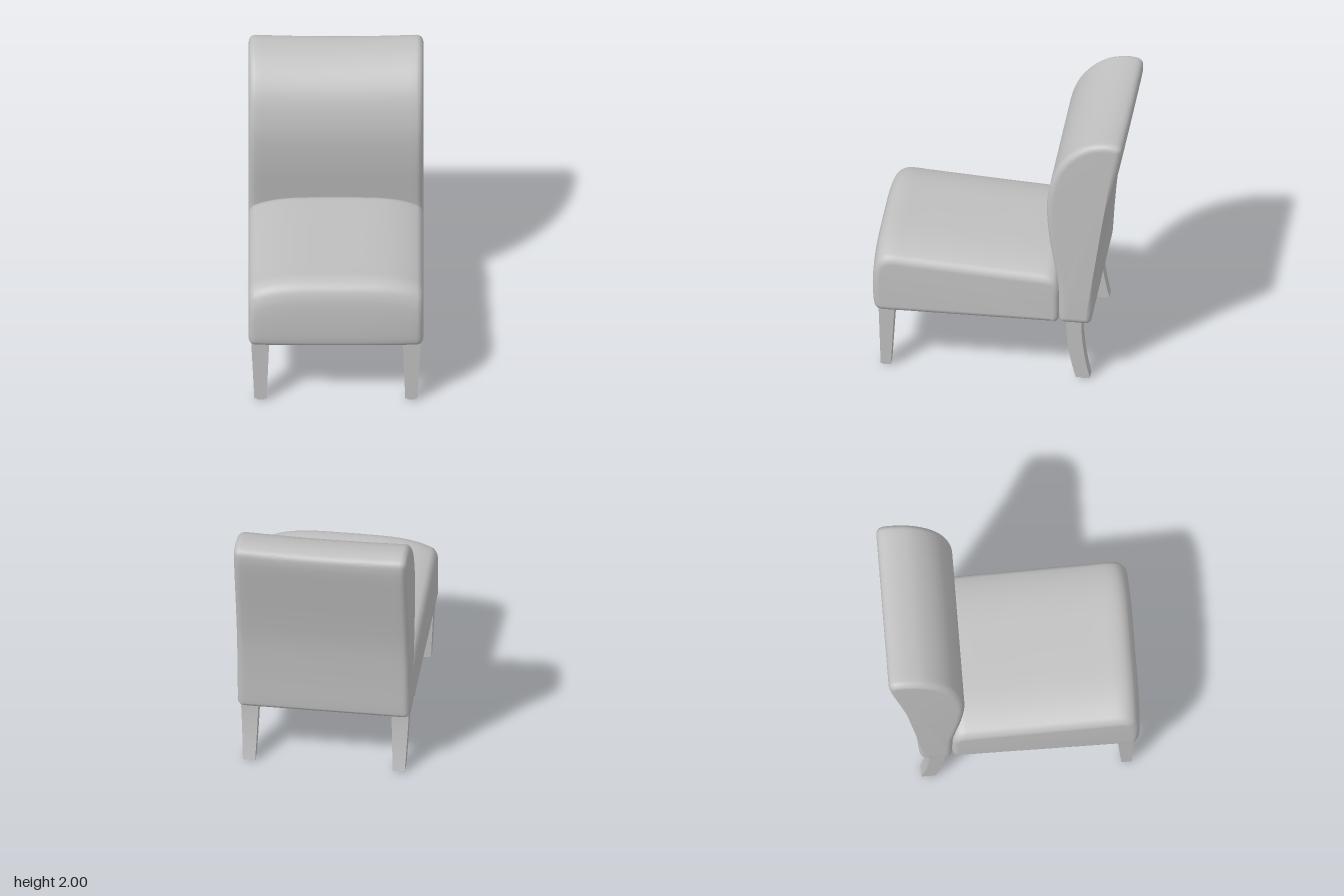
import * as THREE from 'three';
import { toCreasedNormals } from 'three/addons/utils/BufferGeometryUtils.js';

const HALF_WIDTH = 0.62;

// Closed smooth outline from [z, y] points, extruded across the chair with soft edges.
function cushion(points, bevel, move) {
  const curve = new THREE.SplineCurve(points.map(([z, y]) => new THREE.Vector2(z, y)));
  const shape = new THREE.Shape(curve.getPoints(110));
  const geo = new THREE.ExtrudeGeometry(shape, {
    depth: 2 * (HALF_WIDTH - bevel), steps: 24,
    bevelEnabled: true, bevelSize: bevel, bevelThickness: bevel,
    bevelOffset: -bevel, bevelSegments: 7,
  });
  geo.translate(0, 0, -(HALF_WIDTH - bevel));
  geo.rotateY(-Math.PI / 2);
  reshape(geo, move);
  geo.deleteAttribute('uv');
  return toCreasedNormals(geo, 0.65);
}

// Apply a rule to every vertex.
function reshape(geo, move) {
  const pos = geo.attributes.position;
  const p = new THREE.Vector3();
  for (let i = 0; i < pos.count; i++) {
    move(p.fromBufferAttribute(pos, i));
    pos.setXYZ(i, p.x, p.y, p.z);
  }
}

// Square tapered leg; front(t) and back(t) give its z limits, t = 0 at the floor.
function legGeometry(side, front, back) {
  const geo = new THREE.BoxGeometry(1, 1, 1, 1, 10, 1);
  reshape(geo, (p) => {
    const t = p.y + 0.5;
    const inner = THREE.MathUtils.lerp(0.492, 0.475, t);
    const outer = THREE.MathUtils.lerp(0.58, 0.602, t);
    p.x = THREE.MathUtils.lerp(inner, outer, p.x * side + 0.5) * side;
    p.z = THREE.MathUtils.lerp(back(t), front(t), p.z + 0.5);
    p.y = 0.015 + t * 0.475;
  });
  geo.deleteAttribute('uv');
  return toCreasedNormals(geo, 0.6);
}

export function createModel() {
  const chair = new THREE.Group();
  chair.name = 'slipperChair';
  const grey = new THREE.MeshStandardMaterial({ color: 0xc0c0c0 });
  grey.name = 'plain grey';

  const add = (name, geo) => {
    const mesh = new THREE.Mesh(geo, grey);
    mesh.name = name;
    chair.add(mesh);
    return mesh;
  };

  // Seat: sloping top, crowned across its width
  const seatOutline = [
    [0.2, 0.48], [0.6, 0.48], [0.82, 0.48], [0.87, 0.495], [0.89, 0.54],
    [0.898, 0.66], [0.897, 0.8], [0.885, 0.9], [0.85, 0.97], [0.77, 1.003],
    [0.6, 0.993], [0.3, 0.973], [0, 0.953], [-0.3, 0.934], [-0.385, 0.922],
    [-0.43, 0.885], [-0.45, 0.8], [-0.45, 0.65], [-0.448, 0.53], [-0.435, 0.49],
    [-0.39, 0.48], [-0.1, 0.48], [0.2, 0.48],
  ].slice(0, -1);
  seatOutline.push([0.19, 0.48]);
  add('seat', cushion(seatOutline, 0.045, (p) => {
    const edge = Math.pow(Math.abs(p.x) / HALF_WIDTH, 4);
    p.y -= 0.085 * edge * THREE.MathUtils.smoothstep(p.y, 0.6, 0.92);
    p.z -= 0.015 * edge * THREE.MathUtils.smoothstep(p.z, 0.7, 0.88);
  }));

  // Backrest: bulging front, swept rear, slight dip along the top
  const backOutline = [
    [-0.57, 0.478], [-0.5, 0.478], [-0.46, 0.49], [-0.447, 0.53], [-0.445, 0.65],
    [-0.438, 0.8], [-0.415, 0.95], [-0.378, 1.18], [-0.36, 1.42], [-0.378, 1.6],
    [-0.43, 1.76], [-0.52, 1.885], [-0.64, 1.97], [-0.76, 2.0], [-0.85, 1.996],
    [-0.893, 1.97], [-0.9, 1.92], [-0.885, 1.82], [-0.84, 1.62], [-0.78, 1.36],
    [-0.73, 1.1], [-0.7, 0.8], [-0.683, 0.54], [-0.67, 0.49], [-0.635, 0.478],
    [-0.58, 0.478],
  ];
  add('backrest', cushion(backOutline, 0.05, (p) => {
    const middle = 1 - (p.x / HALF_WIDTH) ** 2;
    p.y -= 0.015 * middle * THREE.MathUtils.smoothstep(p.y, 1.7, 2);
  }));

  // Legs: straight tapered in front, curved backwards at the rear, each on a small glide
  const sweep = (t) => (1 - t) ** 2;
  for (const side of [1, -1]) {
    const label = side > 0 ? 'left' : 'right';
    add(label + 'FrontLeg', legGeometry(side, (t) => 0.83 + 0.012 * t, (t) => 0.757 - 0.027 * t));
    add(label + 'RearLeg', legGeometry(side,
      (t) => -0.5 - 0.068 * sweep(t), (t) => -0.61 - 0.058 * sweep(t)));
    for (const [name, z] of [['FrontGlide', 0.795], ['RearGlide', -0.62]]) {
      const glide = add(label + name, new THREE.BoxGeometry(0.055, 0.02, 0.05));
      glide.position.set(0.535 * side, 0.01, z);
    }
  }
  return chair;
}
